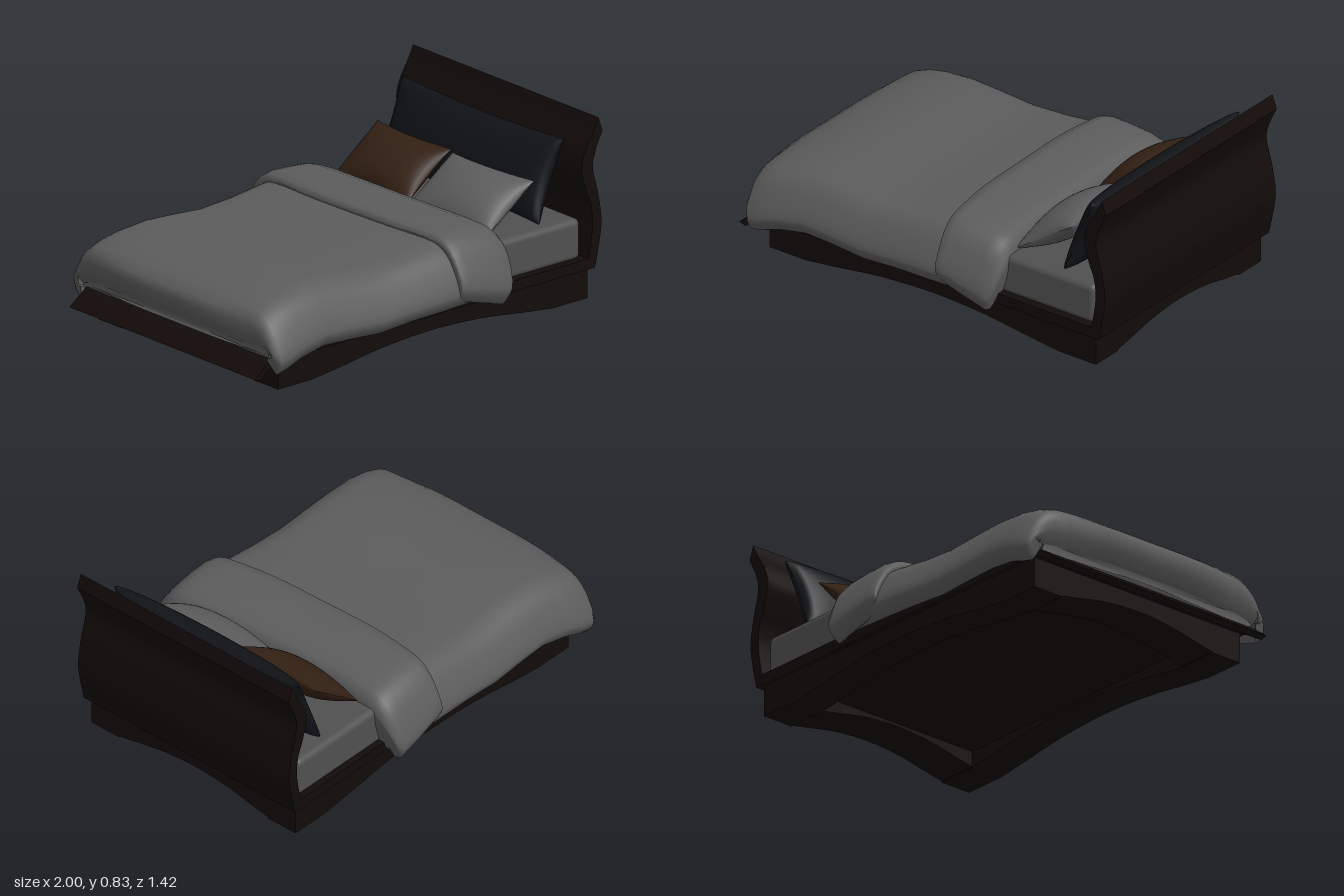
import * as THREE from 'three';
import { RoundedBoxGeometry } from 'three/addons/geometries/RoundedBoxGeometry.js';

const V3 = (x, y, z) => new THREE.Vector3(x, y, z);
const V2 = list => list.map(([x, y]) => new THREE.Vector2(x, y));
const material = color => new THREE.MeshStandardMaterial({ color });

function addMesh(parent, name, geometry, mat) {
  const mesh = new THREE.Mesh(geometry, mat);
  mesh.name = name;
  parent.add(mesh);
  return mesh;
}

// Skin closed rings that advance along +x; each ring turns from +y towards +z
function loft(rings, caps = true) {
  const n = rings[0].length, pos = [], index = [];
  rings.forEach(r => r.forEach(p => pos.push(p.x, p.y, p.z)));
  for (let i = 0; i < rings.length - 1; i++) {
    for (let j = 0; j < n; j++) {
      const a = i * n + j, c = i * n + (j + 1) % n;
      index.push(a, c, a + n, a + n, c, c + n);
    }
  }
  if (caps) [rings[0], rings[rings.length - 1]].forEach((ring, end) => {
    const base = pos.length / 3;
    const mid = ring.reduce((s, p) => s.add(p), V3(0, 0, 0)).divideScalar(n);
    [...ring, mid].forEach(p => pos.push(p.x, p.y, p.z));
    for (let j = 0; j < n; j++) {
      const a = base + j, b = base + (j + 1) % n;
      index.push(base + n, end ? a : b, end ? b : a);
    }
  });
  const g = new THREE.BufferGeometry();
  g.setAttribute('position', new THREE.Float32BufferAttribute(pos, 3));
  g.setIndex(index);
  g.computeVertexNormals();
  return g;
}

// Draped cover section: flat top, sloping flaps that flare out past the frame.
// skew shifts the shoulders along x, hemSkew shifts the hems
function coverRing([x, top, hem, w, floor, skew = 0, hemSkew = 0]) {
  const d = top - hem;
  const half = [
    [0.28, top], [0.48, top - 0.006], [w - 0.14, hem + 0.94 * d], [w - 0.085, hem + 0.82 * d],
    [w - 0.04, hem + 0.6 * d], [w, hem + 0.25 * d], [w - 0.012, hem + 0.11 * d], [w - 0.042, hem],
    [0.632, hem + 0.15 * d], [0.6, floor], [0.3, floor]
  ];
  const loop = [[0, top], ...half, [0, floor], ...half.slice().reverse().map(([z, y]) => [-z, y])];
  const pts = loop.map(([z, y]) => {
    const side = THREE.MathUtils.smoothstep(Math.abs(z), 0.2, 0.7);
    const drop = THREE.MathUtils.clamp((top - y) / d, 0, 1);
    return V3(x + side * (skew + hemSkew * drop * drop), y, z);
  });
  return new THREE.CatmullRomCurve3(pts, true).getPoints(72).slice(0, -1);
}

// Cushion with pinched corners, its long side along z and leaning by tilt;
// higher sharp gives a thinner rim
function pillow(length, width, thick, tilt, sharp) {
  const rings = [], rows = 20, around = 36;
  for (let i = 0; i <= rows; i++) {
    const v = -Math.cos(Math.PI * i / rows), ring = [];
    for (let j = 0; j < around; j++) {
      const a = 2 * Math.PI * j / around, u = Math.sin(a), c = Math.cos(a);
      ring.push(V3(
        length / 2 * v * (1 - 0.05 * (1 - u * u)),
        thick / 2 * Math.sign(c) * Math.abs(c) ** sharp * Math.max(0, 1 - v * v) ** (sharp / 2.2),
        width / 2 * u * (1 - 0.08 * (1 - v * v))));
    }
    rings.push(ring);
  }
  return loft(rings, false).rotateY(-Math.PI / 2).rotateZ(tilt);
}

// Plinth board with an arched lower edge, lying along x
function archBoard(x0, x1, foot0, foot1, thick) {
  const s = new THREE.Shape();
  const a = x0 + foot0, b = x1 - foot1, span = b - a;
  s.moveTo(x0, 0);
  s.lineTo(a, 0);
  s.splineThru(V2([[a + span * 0.12, 0.02], [a + span * 0.3, 0.052], [a + span * 0.5, 0.065],
    [a + span * 0.7, 0.052], [b - span * 0.12, 0.02], [b, 0]]));
  s.lineTo(x1, 0);
  s.lineTo(x1, 0.145);
  s.lineTo(x0, 0.145);
  return new THREE.ExtrudeGeometry(s, { depth: thick, bevelEnabled: false, curveSegments: 4 })
    .translate(0, 0, -thick / 2);
}

export function createModel() {
  const model = new THREE.Group();
  model.name = 'bed';
  const wood = material(0x120b09), linen = material(0x5c5c5c);

  // Continuous bent frame: drooping foot lip, platform, S-curved headboard
  const s = new THREE.Shape();
  s.moveTo(-1, 0.085);
  s.lineTo(-0.965, 0.075);
  s.splineThru(V2([[-0.925, 0.11], [-0.85, 0.14]]));
  s.lineTo(0.957, 0.14);
  s.splineThru(V2([[0.985, 0.27], [0.994, 0.36], [0.975, 0.48], [0.945, 0.6], [0.96, 0.68], [1, 0.765]]));
  s.lineTo(0.977, 0.83);
  s.splineThru(V2([[0.95, 0.775], [0.9, 0.69], [0.88, 0.61], [0.905, 0.51], [0.935, 0.43],
    [0.943, 0.33], [0.92, 0.19]]));
  s.lineTo(-0.85, 0.19);
  s.splineThru(V2([[-0.92, 0.145], [-1, 0.085]]));
  addMesh(model, 'frame', new THREE.ExtrudeGeometry(s, { depth: 1.23, bevelEnabled: false, curveSegments: 5 })
    .translate(0, 0, -0.61), wood);

  // Plinth of four arched boards around a recessed panel
  const plinth = new THREE.Group();
  plinth.name = 'plinth';
  model.add(plinth);
  const sideT = 0.16, endT = 0.2;
  for (const side of [1, -1]) {
    addMesh(plinth, 'sideBoard', archBoard(-0.85, 0.93, 0.2, 0.2, sideT), wood)
      .position.z = 0.005 + side * (0.595 - sideT / 2);
    const end = addMesh(plinth, 'endBoard', archBoard(-0.594, 0.594, 0.13, 0.13, endT), wood);
    end.rotation.y = Math.PI / 2;
    end.position.set(0.04 + side * (0.889 - endT / 2), 0, 0.005);
  }
  addMesh(plinth, 'basePanel', new THREE.BoxGeometry(1.6, 0.065, 1.05), wood).position.set(0.04, 0.11, 0.005);

  const mattress = addMesh(model, 'mattress', new RoundedBoxGeometry(1.76, 0.19, 1.17, 4, 0.03), material(0x505050));
  mattress.position.set(0.03, 0.275, 0);

  // Duvet stations: x, top, hem, half width, underside, shoulder skew, hem skew
  addMesh(model, 'duvet', loft([
    [-0.92, 0.2, 0.15, 0.64, 0.165, 0.02],
    [-0.965, 0.25, 0.165, 0.65, 0.215, 0.035],
    [-0.982, 0.305, 0.16, 0.66, 0.26, 0.045, 0.01],
    [-0.965, 0.345, 0.12, 0.675, 0.29, 0.035, 0.02],
    [-0.92, 0.375, 0.093, 0.69, 0.32, 0.01, 0.01],
    [-0.85, 0.4, 0.105, 0.69, 0.34],
    [-0.76, 0.42, 0.135, 0.685, 0.34],
    [-0.62, 0.437, 0.155, 0.672, 0.34],
    [-0.48, 0.428, 0.15, 0.674, 0.34],
    [-0.3, 0.412, 0.138, 0.678, 0.34],
    [-0.12, 0.42, 0.15, 0.68, 0.34],
    [0.06, 0.44, 0.155, 0.685, 0.34],
    [0.2, 0.445, 0.16, 0.685, 0.34],
    [0.36, 0.43, 0.17, 0.675, 0.34]
  ].map(coverRing)), linen);

  // Folded-back end of the duvet, lying slightly askew
  const fold = addMesh(model, 'duvetFold', loft([
    [0.07, 0.45, 0.2, 0.69, 0.35, 0.035],
    [0.075, 0.476, 0.192, 0.7, 0.35, 0.035],
    [0.13, 0.483, 0.18, 0.705, 0.35, 0.02],
    [0.24, 0.477, 0.155, 0.71, 0.35],
    [0.33, 0.467, 0.13, 0.71, 0.35, 0.01, -0.015],
    [0.38, 0.45, 0.118, 0.71, 0.35, 0.015, -0.035],
    [0.405, 0.42, 0.125, 0.7, 0.345, 0.02, -0.05],
    [0.41, 0.38, 0.15, 0.685, 0.335, 0.02, -0.05]
  ].map(coverRing)), linen);
  fold.rotation.y = 0.03;
  fold.position.z = 0.008;

  // Pillows: name, colour, length, width, thickness, lean, rim sharpness, yaw, position
  [
    ['backPillow', 0x101216, 1.07, 0.39, 0.175, 1.19, 0.75, 0, [0.78, 0.555, 0]],
    ['lightPillow', 0x5c5c5c, 0.51, 0.35, 0.16, 0.58, 1.1, 0.06, [0.555, 0.468, 0.25]],
    ['brownPillow', 0x332014, 0.49, 0.32, 0.14, 0.65, 1.15, 0, [0.55, 0.485, -0.255]]
  ].forEach(([name, color, l, w, th, tilt, sharp, yaw, p]) => {
    const mesh = addMesh(model, name, pillow(l, w, th, tilt, sharp), material(color));
    mesh.rotation.y = yaw;
    mesh.position.set(...p);
  });

  return model;
}
